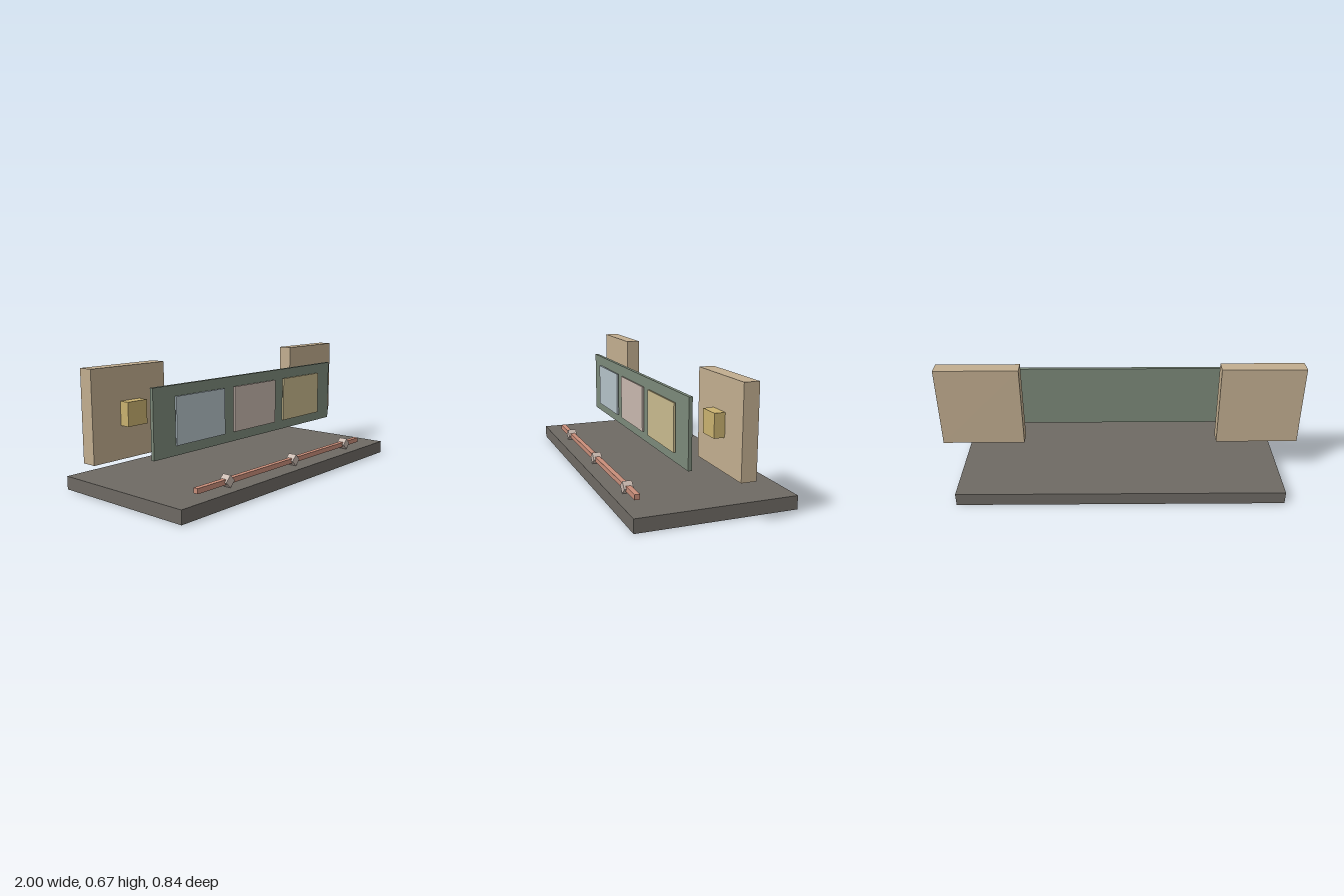
import * as THREE from 'three';

function material(name, color) {
  const m = new THREE.MeshStandardMaterial({ color });
  m.name = name;
  return m;
}

export function createModel() {
  const model = new THREE.Group();
  model.name = 'displayStand';

  const charcoal = material('charcoal', 0x6e6a64);
  const tan = material('tan', 0xc2ae90);
  const ochre = material('ochre', 0xcab270);
  const green = material('sageGreen', 0x7c8a7a);
  const blue = material('paleBlue', 0xb4c2c8);
  const pink = material('palePink', 0xc8b8ae);
  const sand = material('paleYellow', 0xc9ba8e);
  const copper = material('copper', 0xc98e7a);

  // Box given by its lower and upper limits on each axis
  function box(name, mat, [x0, x1], [y0, y1], [z0, z1]) {
    const mesh = new THREE.Mesh(new THREE.BoxGeometry(x1 - x0, y1 - y0, z1 - z0), mat);
    mesh.position.set((x0 + x1) / 2, (y0 + y1) / 2, (z0 + z1) / 2);
    mesh.name = name;
    model.add(mesh);
    return mesh;
  }

  box('base', charcoal, [-0.895, 0.895], [0, 0.071], [-0.421, 0.421]);

  // Mirrored rear blocks, each with a bracket on its front
  for (const [side, s] of [['left', 1], ['right', -1]]) {
    const span = (a, b) => (s > 0 ? [a, b] : [-b, -a]);
    box(side + 'Block', tan, span(0.543, 1), [0.211, 0.668], [-0.128, -0.05]);
    box(side + 'Bracket', ochre, span(0.711, 0.831), [0.379, 0.499], [-0.05, 0.005]);
  }

  // Upright board with three floating plates before it
  box('board', green, [-0.758, 0.758], [0.211, 0.568], [0.081, 0.1]);
  [blue, pink, sand].forEach((mat, i) => {
    const x = (i - 1) * 0.438;
    box('plate' + (i + 1), mat, [x - 0.179, x + 0.179], [0.265, 0.513], [0.106, 0.116]);
  });

  // Front rail with diamond clips
  box('rail', copper, [-0.72, 0.72], [0.088, 0.115], [0.326, 0.353]);
  [-0.5, 0.047, 0.57].forEach((x, i) => {
    const h = 0.0228;
    const clip = box('clip' + (i + 1), pink, [x - h, x + h], [0.1025 - h, 0.1025 + h], [0.315, 0.364]);
    clip.rotation.z = Math.PI / 4;
  });

  return model;
}
